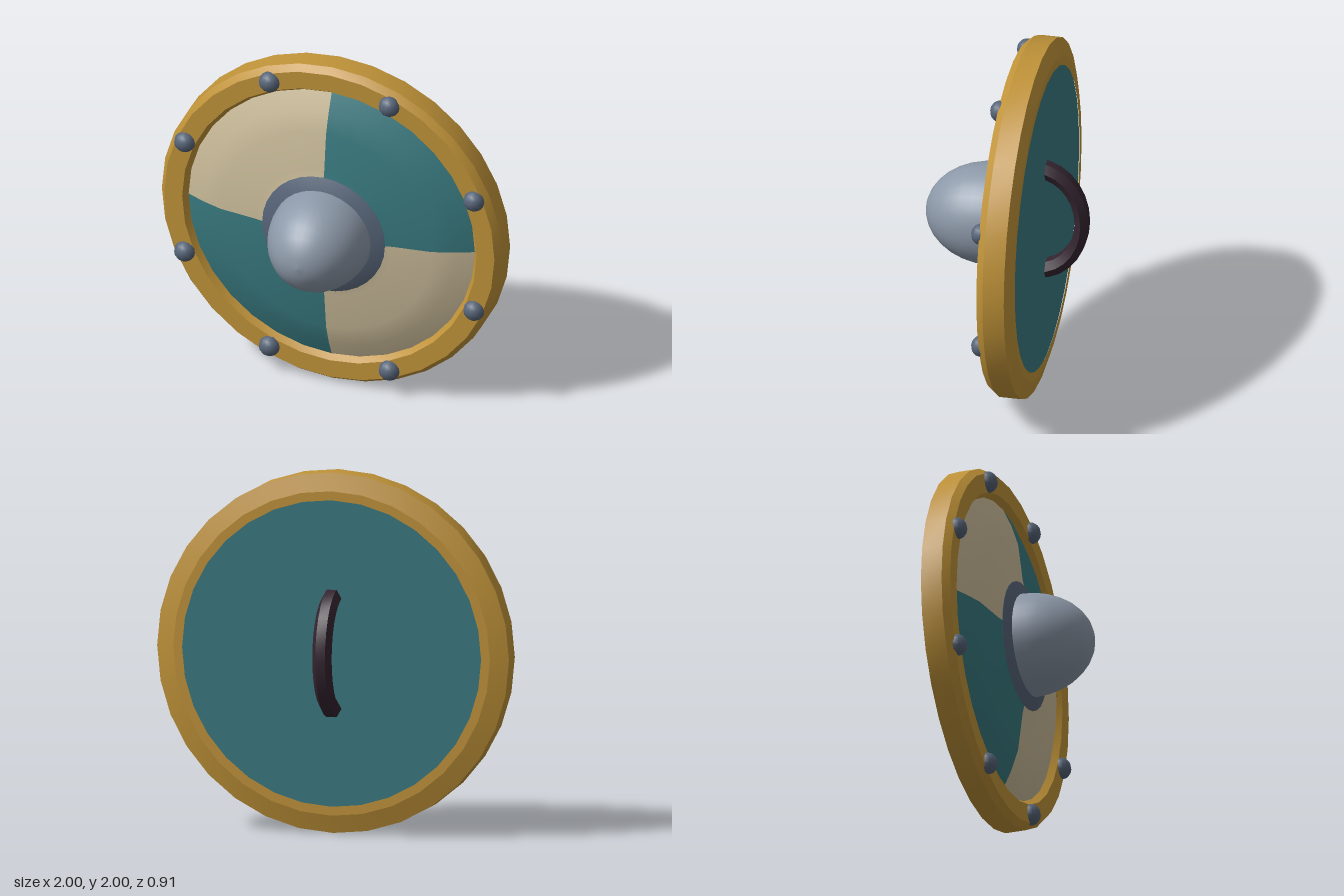
import * as THREE from 'three';
import { toCreasedNormals } from 'three/addons/utils/BufferGeometryUtils.js';

const mat = (name, color) => {
  const m = new THREE.MeshStandardMaterial({ color });
  m.name = name;
  return m;
};

// Revolve [radius, z] points around the z axis
function turned(points, segments, start = 0, length = Math.PI * 2) {
  const g = new THREE.LatheGeometry(points.map(([r, z]) => new THREE.Vector2(r, z)), segments, start, length);
  return g.rotateX(Math.PI / 2);
}

export function createModel() {
  const gold = mat('gold', 0xbf9238);
  const teal = mat('teal', 0x38797f);
  const cream = mat('cream', 0xcbbc9a);
  const steel = mat('steel', 0x8c98a8);
  const darkSteel = mat('darkSteel', 0x576579);
  const leather = mat('leather', 0x33242f);

  const shield = new THREE.Group();
  shield.name = 'shield';
  const add = (name, geometry, material, parent = shield) => {
    const mesh = new THREE.Mesh(geometry, material);
    mesh.name = name;
    parent.add(mesh);
    return mesh;
  };

  // Bevelled rim
  const rim = [[0.85, -0.22], [0.9, -0.22], [1, -0.19], [1, -0.07], [0.97, -0.03], [0.865, -0.03], [0.835, -0.075], [0.835, -0.12]];
  add('rim', toCreasedNormals(turned(rim, 32), 0.25), gold);

  // Domed front in four alternating quarters
  const face = [[0.85, -0.07], [0.74, -0.02], [0.62, 0.02], [0.4, 0.047], [0.34, 0.06]];
  for (let i = 0; i < 4; i++) {
    add('facePanel' + (i + 1), turned(face, 8, i * Math.PI / 2, Math.PI / 2), i % 2 ? teal : cream);
  }

  // Flat back board
  const back = add('backBoard', new THREE.CircleGeometry(0.86, 32), teal);
  back.rotation.y = Math.PI;
  back.position.z = -0.215;

  // Boss: sloping flange and rounded dome
  add('bossFlange', turned([[0.36, 0.05], [0.36, 0.06], [0.28, 0.088]], 32), darkSteel);
  const dome = [];
  for (let i = 0; i <= 8; i++) {
    const a = i / 8 * Math.PI / 2;
    dome.push([0.287 * Math.cos(a), 0.083 + 0.372 * Math.sin(a)]);
  }
  add('bossDome', turned(dome, 32), steel);

  // Eight rivets around the rim
  const rivets = new THREE.Group();
  rivets.name = 'rivets';
  shield.add(rivets);
  const rivetGeometry = new THREE.SphereGeometry(0.06, 12, 8);
  for (let i = 0; i < 8; i++) {
    const a = (i + 0.5) * Math.PI / 4;
    const rivet = add('rivet' + (i + 1), rivetGeometry, darkSteel, rivets);
    rivet.position.set(0.92 * Math.cos(a), 0.92 * Math.sin(a), -0.03);
    rivet.scale.z = 0.9;
  }

  // Hexagonal grip bent into a half loop behind the board
  const hex = [];
  for (let i = 0; i <= 6; i++) {
    const a = Math.PI / 2 + i * Math.PI / 3;
    hex.push(new THREE.Vector2(0.312 + 0.055 * Math.cos(a), 0.055 * Math.sin(a)));
  }
  const grip = new THREE.LatheGeometry(hex, 14, Math.PI / 2, Math.PI);
  grip.rotateZ(Math.PI / 2).scale(1, 1, 0.8).translate(0, 0, -0.167);
  add('handle', toCreasedNormals(grip, 0.6), leather);

  shield.position.y = 1;
  const model = new THREE.Group();
  model.add(shield);
  return model;
}
